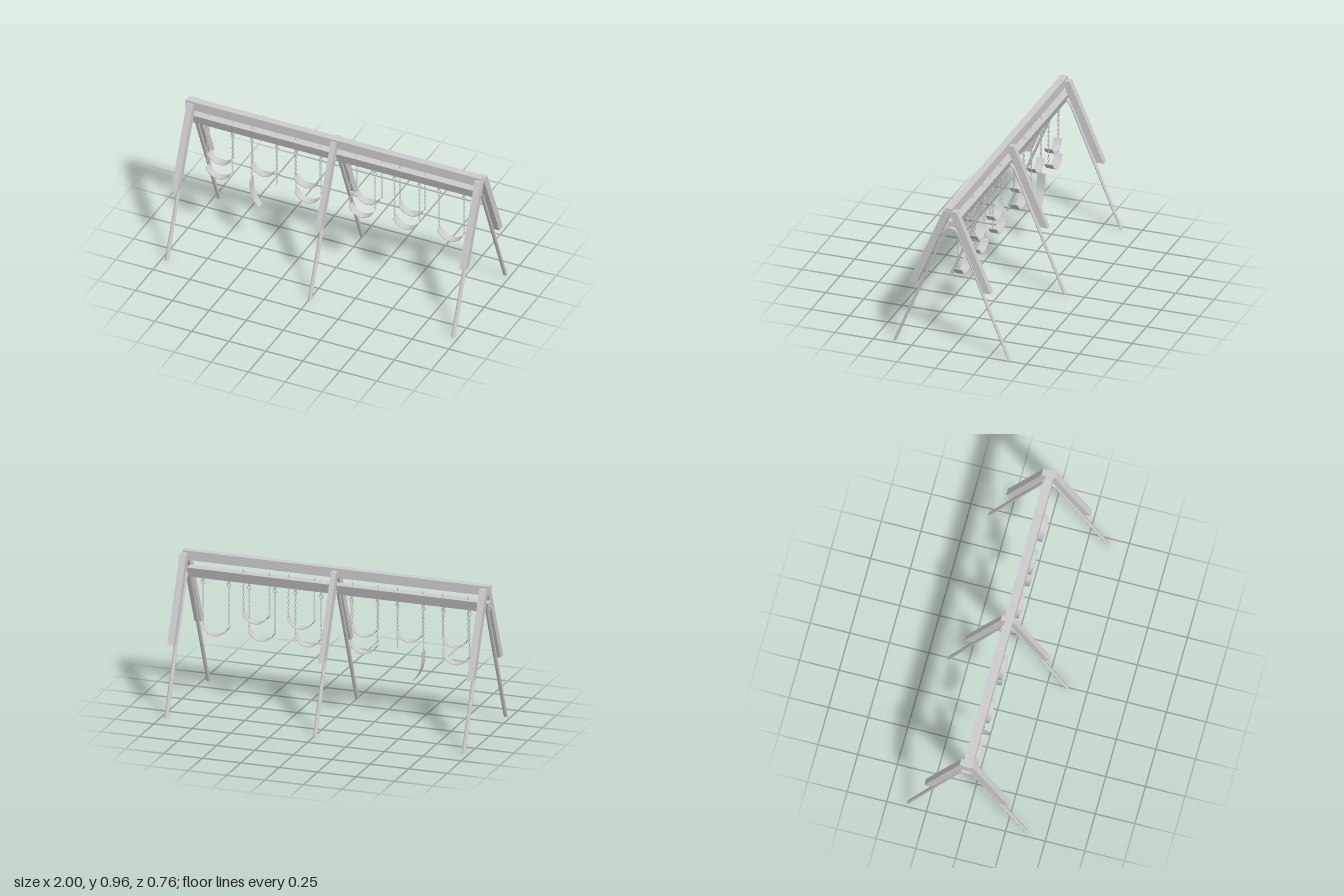
import * as THREE from 'three';
import { mergeGeometries, toCreasedNormals } from 'three/addons/utils/BufferGeometryUtils.js';

const grey = new THREE.MeshStandardMaterial({ color: 0xcccccc, side: THREE.DoubleSide });

function part(name, geometry) {
  const mesh = new THREE.Mesh(geometry, grey);
  mesh.name = name;
  return mesh;
}

// Prism along x from a [z, y] outline
function prismX(outline, x0, x1) {
  const shape = new THREE.Shape(outline.map(([z, y]) => new THREE.Vector2(-z, y)));
  return new THREE.ExtrudeGeometry(shape, { depth: x1 - x0, bevelEnabled: false })
    .rotateY(Math.PI / 2).translate(x0, 0, 0);
}

// Flattened bent pipe that forms both lower legs
function pipeFrame(x) {
  const v = (z, y) => new THREE.Vector3(0, y, z);
  const path = new THREE.CurvePath();
  path.add(new THREE.LineCurve3(v(0.372, 0), v(0.05, 0.774)));
  path.add(new THREE.CubicBezierCurve3(v(0.05, 0.774), v(0.022, 0.842), v(-0.022, 0.842), v(-0.05, 0.774)));
  path.add(new THREE.LineCurve3(v(-0.05, 0.774), v(-0.372, 0)));
  const tube = new THREE.TubeGeometry(path, 72, 0.0085, 12).scale(1.55, 1, 1);
  const pos = tube.attributes.position;
  // Cut the feet flat on the ground
  for (let i = 0; i < pos.count; i++) if (pos.getY(i) < 0.006) pos.setY(i, 0);
  const feet = [-1, 1].map((s) => new THREE.CircleGeometry(0.0088, 12)
    .scale(1.5, 1, 1).rotateX(Math.PI / 2).translate(0, 0, s * 0.372));
  return mergeGeometries([tube, ...feet]).translate(x, 0, 0);
}

// Chain of oval links, each turned a quarter from the last
function chain(x, top, bottom) {
  const count = Math.round((top - bottom) / 0.0155);
  const pitch = (top - bottom) / count;
  const links = [];
  for (let i = 0; i < count; i++) {
    links.push(new THREE.TorusGeometry(0.005, 0.0015, 5, 10)
      .scale(1, 1.75, 1)
      .rotateY(i % 2 ? 0 : Math.PI / 2)
      .translate(x, top - (i + 0.5) * pitch, 0));
  }
  return mergeGeometries(links);
}

// Flexible strap following a curve in the xy plane
function strap(points) {
  const samples = new THREE.SplineCurve(points.map(([x, y]) => new THREE.Vector2(x, y))).getPoints(20);
  const t = 0.002;
  const upper = [], lower = [];
  samples.forEach((p, i) => {
    const a = samples[Math.max(i - 1, 0)], b = samples[Math.min(i + 1, 20)];
    const d = b.clone().sub(a).normalize();
    upper.push(new THREE.Vector2(p.x - d.y * t, p.y + d.x * t));
    lower.unshift(new THREE.Vector2(p.x + d.y * t, p.y - d.x * t));
  });
  const geo = new THREE.ExtrudeGeometry(new THREE.Shape([...upper, ...lower]), { depth: 0.054, bevelEnabled: false });
  return toCreasedNormals(geo.translate(0, 0, -0.027), 0.6);
}

// Sagging seat between two chains
function seat(x0, x1, y) {
  const mid = (x0 + x1) / 2, half = (x1 - x0) / 2;
  const sag = [[-1, 0], [-0.75, -0.03], [-0.4, -0.05], [0, -0.057], [0.4, -0.05], [0.75, -0.03], [1, 0]];
  return strap(sag.map(([u, dy]) => [mid + u * half, y + dy]));
}

// Bracket, eye and ring under the beam
function hanger(x) {
  return mergeGeometries([
    new THREE.BoxGeometry(0.014, 0.022, 0.012).translate(x, 0.793, 0),
    new THREE.TorusGeometry(0.009, 0.0025, 6, 14).rotateY(Math.PI / 2).translate(x, 0.787, 0),
    new THREE.TorusGeometry(0.011, 0.0028, 6, 14).translate(x, 0.769, 0),
  ]);
}

export function createModel() {
  const model = new THREE.Group();
  model.name = 'swingFrame';

  // Beams
  model.add(part('topBeam', prismX([[-0.013, 0.905], [0.034, 0.905], [0.034, 0.965], [-0.013, 0.965]], -1, 0.994)));
  model.add(part('swingBeam', prismX([[-0.01, 0.798], [0.01, 0.798], [0.031, 0.862], [-0.031, 0.862]], -1, 0.96)));

  // Timber A-frames over bent pipes
  const aFrame = [[0.043, 0.95], [-0.043, 0.95], [-0.266, 0.433], [-0.217, 0.433],
    [0, 0.93], [0.217, 0.433], [0.266, 0.433]];
  for (const [x0, x1, pipeX] of [[-0.99, -0.948, -0.968], [-0.017, 0.017, -0.001], [0.957, 1, 0.966]]) {
    model.add(part('timberLegs', prismX(aFrame, x0, x1)));
    model.add(part('pipeLegs', pipeFrame(pipeX)));
  }

  // Low swings on rings; the second one hangs from one chain
  const low = [[-0.87, -0.70], [-0.57, -0.40], [-0.27, -0.10], [0.095, 0.262], [0.395, 0.563], [0.695, 0.865]];
  low.forEach(([x0, x1], i) => {
    const swing = new THREE.Group();
    swing.name = 'lowSwing';
    for (const x of [x0, x1]) {
      swing.add(part('hanger', hanger(x)), part('chain', chain(x, 0.762, 0.495)));
    }
    swing.add(i === 1
      ? part('hangingSeat', strap([[-0.57, 0.497], [-0.567, 0.42], [-0.55, 0.362], [-0.512, 0.306]]))
      : part('seat', seat(x0, x1, 0.497)));
    model.add(swing);
  });

  // High swings with chains passing through the beam
  const high = [[-0.86, -0.695], [-0.565, -0.402], [-0.275, -0.108], [0.14, 0.308], [0.432, 0.60]];
  for (const [x0, x1] of high) {
    const swing = new THREE.Group();
    swing.name = 'highSwing';
    for (const x of [x0, x1]) swing.add(part('chain', chain(x, 0.882, 0.602)));
    swing.add(part('seat', seat(x0, x1, 0.605)));
    model.add(swing);
  }
  return model;
}
